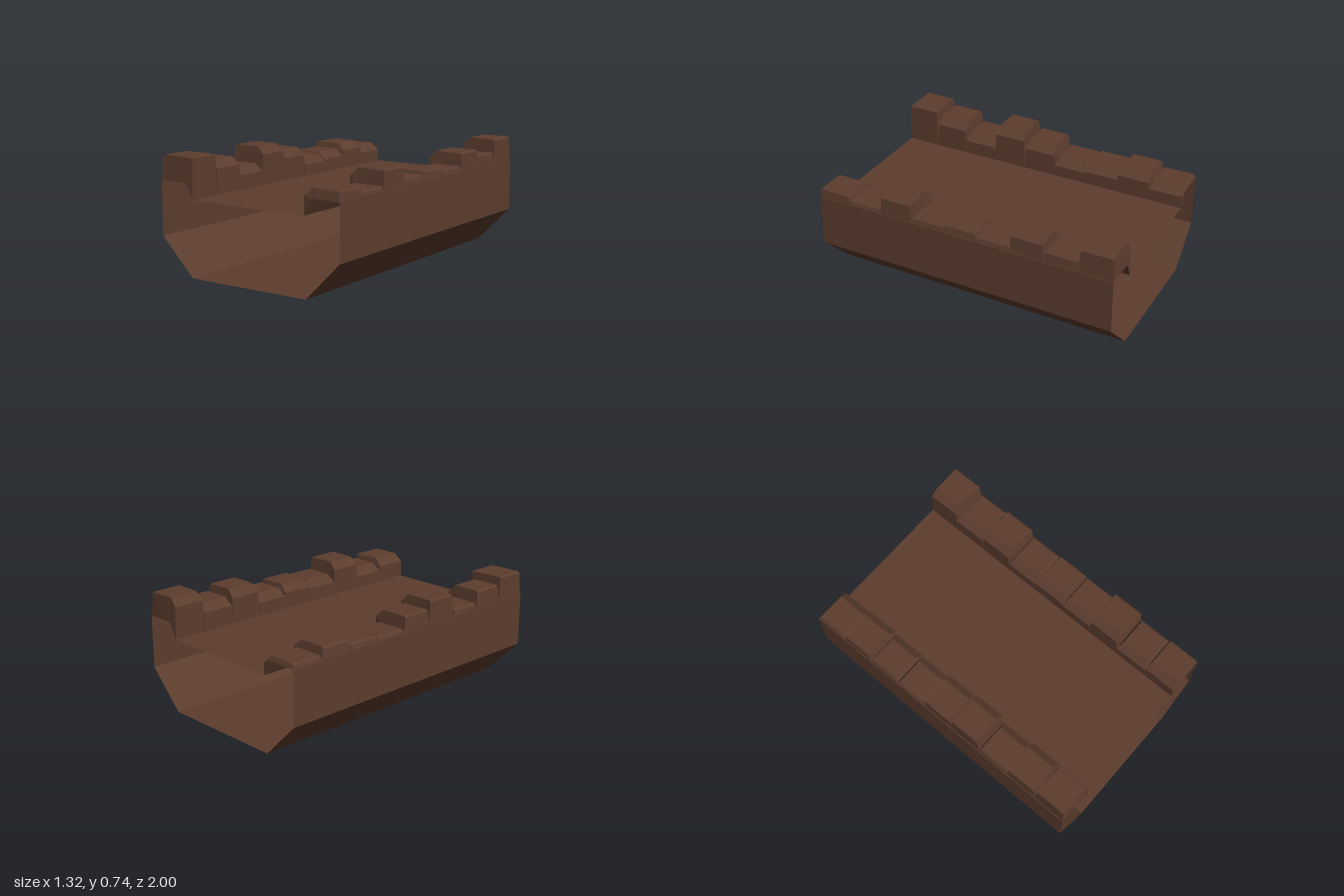
import * as THREE from 'three';

const brown = new THREE.MeshStandardMaterial({ color: 0x5c3d2e, flatShading: true, side: THREE.DoubleSide });
brown.name = 'dark brown';

// Open-ended tube of flat faces along z from a closed [x, y] loop
function makeShell(loop, halfLength) {
  const pos = [];
  loop.forEach(([ax, ay], i) => {
    const [bx, by] = loop[(i + 1) % loop.length];
    const f = halfLength, b = -halfLength;
    pos.push(ax, ay, f, ax, ay, b, bx, by, b, ax, ay, f, bx, by, b, bx, by, f);
  });
  const geo = new THREE.BufferGeometry();
  geo.setAttribute('position', new THREE.Float32BufferAttribute(pos, 3));
  geo.computeVertexNormals();
  return geo;
}

// Rim block: side profile extruded along z, its ends tapering towards the top
function makeBlock(side, top, chamfer) {
  const profile = [
    [0.465, 0.58], [0.655, 0.58], [0.65, top - 0.01], [0.64, top],
    [0.465, top], [0.415, top - chamfer], [0.415, 0.48],
  ];
  const shape = new THREE.Shape(profile.map(([x, y]) => new THREE.Vector2(side * x, y)));
  const geo = new THREE.ExtrudeGeometry(shape, { depth: 2, bevelEnabled: false, steps: 1 });
  geo.translate(0, 0, -1);
  const p = geo.attributes.position;
  for (let i = 0; i < p.count; i++) {
    const y = p.getY(i);
    let half = 0.111 - 0.011 * THREE.MathUtils.clamp((y - 0.58) / (top - 0.58), 0, 1);
    if (y > top - 0.004) half -= 0.004;
    p.setZ(i, p.getZ(i) * half);
  }
  geo.computeVertexNormals();
  return geo;
}

export function createModel() {
  const model = new THREE.Group();
  model.name = 'trough';

  // Hull: bottom, sloping sides, walls, rims and sunken deck
  const half = [[0.425, 0], [0.66, 0.235], [0.66, 0.58], [0.465, 0.58], [0.415, 0.48]];
  const loop = [...half, ...half.map(([x, y]) => [-x, y]).reverse()];
  const hull = new THREE.Mesh(makeShell(loop, 1), brown);
  hull.name = 'hull';
  model.add(hull);

  // Uneven blocks along both rims, listed front to back
  const rows = [
    { name: 'left', side: 1, tops: [0.64, 0.61, 0.70, 0.62, 0.635, 0.615, 0.695, 0.65, 0.735] },
    { name: 'right', side: -1, tops: [0.735, 0.69, 0.62, 0.725, 0.675, 0.605, 0.615, 0.65, 0.61] },
  ];
  for (const { name, side, tops } of rows) {
    const row = new THREE.Group();
    row.name = name + 'RimBlocks';
    tops.forEach((top, i) => {
      const chamfer = side < 0 && i === 0 ? 0.006 : 0.05;
      const block = new THREE.Mesh(makeBlock(side, top, chamfer), brown);
      block.name = name + 'Block' + (i + 1);
      block.position.z = 1 - (i + 0.5) * 2 / 9;
      row.add(block);
    });
    model.add(row);
  }
  return model;
}
